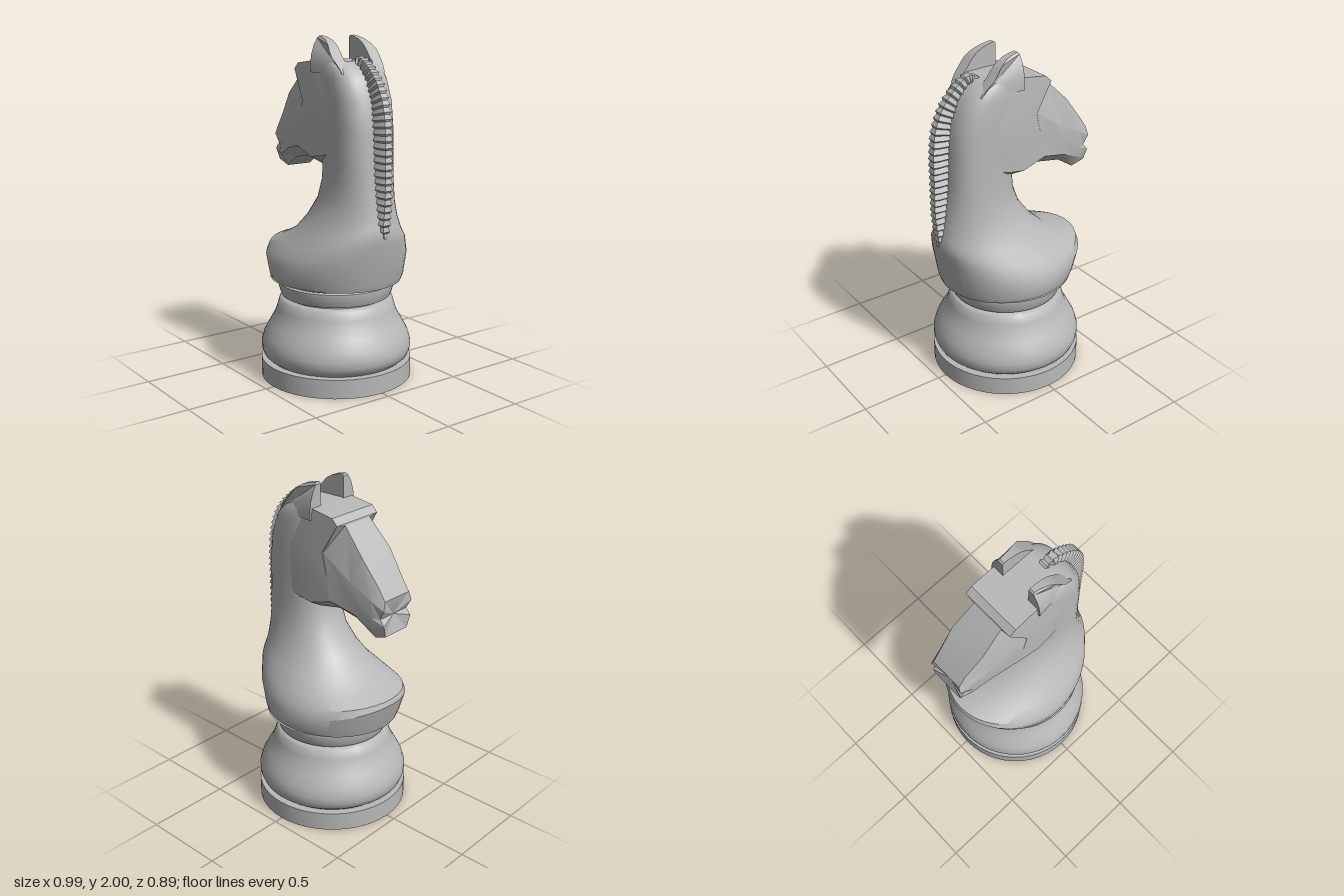
import * as THREE from 'three';
import { toCreasedNormals } from 'three/addons/utils/BufferGeometryUtils.js';

const stone = new THREE.MeshStandardMaterial({ color: 0xb8b8b8 });
stone.name = 'greyStone';

const V = (x, y, z) => new THREE.Vector3(x, y, z);

function part(name, geometry, crease) {
  const mesh = new THREE.Mesh(toCreasedNormals(geometry, crease), stone);
  mesh.name = name;
  return mesh;
}

// Skin a list of equal-length rings and close both ends
function loft(rings, startCentre, endCentre) {
  const n = rings[0].length, last = rings.length - 1, pos = [];
  const tri = (...pts) => pts.forEach((p) => pos.push(p.x, p.y, p.z));
  const middle = (ring) => ring.reduce((s, p) => s.add(p), V(0, 0, 0)).divideScalar(n);
  const c0 = startCentre || middle(rings[0]), c1 = endCentre || middle(rings[last]);
  for (let j = 0; j < n; j++) {
    const k = (j + 1) % n;
    for (let i = 0; i < last; i++) {
      const a = rings[i][j], b = rings[i][k], c = rings[i + 1][k], d = rings[i + 1][j];
      tri(a, b, c);
      tri(a, c, d);
    }
    tri(c0, rings[0][k], rings[0][j]);
    tri(c1, rings[last][j], rings[last][k]);
  }
  const g = new THREE.BufferGeometry();
  g.setAttribute('position', new THREE.Float32BufferAttribute(pos, 3));
  return g;
}

function lathe(points) {
  return new THREE.LatheGeometry(points.map((p) => new THREE.Vector2(...p)), 48);
}

// Neck rows: front y, back y, side y, front x, back x, half width, squareness
function neckGeometry() {
  const rows = [
    [0.6, 0.6, 0.6, -0.405, 0.4, 0.375, 2],
    [0.64, 0.64, 0.63, -0.42, 0.415, 0.385, 2],
    [0.77, 0.84, 0.7, -0.46, 0.45, 0.39, 2],
    [0.8, 0.88, 0.76, -0.45, 0.458, 0.37, 2],
    [0.83, 0.93, 0.82, -0.36, 0.465, 0.335, 2],
    [0.88, 0.97, 0.9, -0.24, 0.455, 0.28, 2],
    [0.97, 1.02, 1.0, -0.14, 0.445, 0.225, 2.1],
    [1.09, 1.1, 1.1, -0.05, 0.43, 0.193, 2.2],
    [1.2, 1.2, 1.2, -0.005, 0.415, 0.18, 2.4],
    [1.3, 1.3, 1.3, 0.01, 0.405, 0.175, 2.6],
    [1.5, 1.5, 1.5, 0.0, 0.395, 0.175, 2.8],
    [1.65, 1.65, 1.65, 0.0, 0.375, 0.175, 2.8],
    [1.77, 1.77, 1.77, 0.0, 0.325, 0.172, 2.8],
    [1.835, 1.835, 1.835, 0.0, 0.27, 0.165, 2.8],
    [1.865, 1.865, 1.865, 0.02, 0.21, 0.15, 2.8],
  ];
  const sides = 40;
  const rings = rows.map(([yf, yb, ys, x0, x1, hz, e]) => {
    const ring = [];
    for (let j = 0; j < sides; j++) {
      const a = (j / sides) * Math.PI * 2, c = Math.cos(a), s = Math.sin(a);
      const px = Math.sign(c) * Math.abs(c) ** (2 / e);
      const pz = Math.sign(s) * Math.abs(s) ** (2 / e);
      const y = ys + c * c * ((c > 0 ? yb : yf) - ys);
      ring.push(V((x0 + x1) / 2 + (px * (x1 - x0)) / 2, y, -pz * hz));
    }
    return ring;
  });
  return loft(rings);
}

// Head sections from muzzle to poll; each lists [x, y, half width]
// for the top, shoulder, mouth, jaw and underside
function headGeometry() {
  const sections = [
    [[-0.488, 1.45, 0.1], [-0.495, 1.4, 0.117], [-0.465, 1.345, 0.11], [-0.495, 1.31, 0.112], [-0.488, 1.24, 0.09]],
    [[-0.44, 1.52, 0.1], [-0.42, 1.44, 0.132], [-0.42, 1.345, 0.13], [-0.42, 1.28, 0.122], [-0.41, 1.21, 0.08]],
    [[-0.33, 1.66, 0.115], [-0.28, 1.52, 0.155], [-0.29, 1.42, 0.152], [-0.3, 1.335, 0.145], [-0.31, 1.275, 0.08]],
    [[-0.19, 1.8, 0.1], [-0.09, 1.64, 0.172], [-0.12, 1.5, 0.174], [-0.15, 1.37, 0.172], [-0.15, 1.305, 0.09]],
    [[-0.188, 1.81, 0.163], [-0.085, 1.64, 0.177], [-0.11, 1.5, 0.176], [-0.14, 1.368, 0.173], [-0.14, 1.305, 0.09]],
    [[-0.15, 1.845, 0.163], [0, 1.65, 0.181], [0, 1.5, 0.181], [0, 1.325, 0.179], [0, 1.28, 0.1]],
    [[0.02, 1.868, 0.16], [0.1, 1.65, 0.18], [0.1, 1.5, 0.18], [0.1, 1.34, 0.178], [0.1, 1.29, 0.12]],
    [[0.2, 1.865, 0.14], [0.22, 1.65, 0.168], [0.22, 1.5, 0.168], [0.21, 1.37, 0.165], [0.2, 1.32, 0.12]],
  ];
  const lean = (x) => -0.02 * Math.min(1, Math.max(0, (-0.1 - x) / 0.35));
  const rings = sections.map((s) => [
    ...s.map(([x, y, w]) => V(x, y, w + lean(x))),
    ...[...s].reverse().map(([x, y, w]) => V(x, y, -w + lean(x))),
  ]);
  return loft(rings, V(-0.465, 1.345, -0.02));
}

// Ear: side profile with the outer face leaning inward towards the tip
function earGeometry(side) {
  const outline = [[0, 1.8], [0.26, 1.8], [0.23, 1.845], [0.19, 1.885], [0.16, 1.925], [0.13, 1.955],
    [0.09, 1.98], [0.04, 1.995], [0.01, 2], [0, 1.99], [0, 1.95], [0, 1.9], [0, 1.85]];
  const shape = new THREE.Shape(outline.map((p) => new THREE.Vector2(...p)));
  const g = new THREE.ExtrudeGeometry(shape, { depth: 1, bevelEnabled: false });
  const p = g.attributes.position;
  for (let i = 0; i < p.count; i++) {
    const rise = Math.max(0, (p.getY(i) - 1.82) / 0.18);
    const taper = 0.055 * rise ** 2.5 + 0.35 * Math.max(0, p.getX(i) - 0.17);
    const outer = 0.178 - taper, inner = 0.092;
    const far = p.getZ(i) > 0.5 ? side > 0 : side < 0;
    p.setZ(i, side * (far ? outer : inner));
  }
  return g;
}

// Mane: a crest along the back of the neck, stepped into locks
function maneGeometry() {
  const curve = new THREE.CatmullRomCurve3([
    [0.17, 1.86], [0.24, 1.888], [0.29, 1.868], [0.36, 1.81], [0.42, 1.735], [0.467, 1.62],
    [0.485, 1.48], [0.487, 1.3], [0.487, 1.12], [0.478, 1.02], [0.465, 0.9],
  ].map(([x, y]) => V(x, y, 0.005)));
  const locks = 30, rings = [];
  for (let i = 0; i < locks; i++) {
    // each lock flares out, then steps back in
    for (const [f, flare] of [[0.05, 0], [0.75, 1]]) {
      const u = (i + f) / locks;
      const p = curve.getPointAt(u), t = curve.getTangentAt(u), n = V(-t.y, t.x, 0);
      const end = Math.min(1, (1 - u) / 0.06 + 0.15);
      const w = (0.024 + 0.013 * flare) * end;
      const at = (out, z) => p.clone().addScaledVector(n, out).add(V(0, 0, z));
      const top = flare * 0.008 - 0.003;
      rings.push([at(top, -w * 0.75), at(top, w * 0.75), at(-0.03, w), at(-0.1, w), at(-0.1, -w), at(-0.03, -w)]);
    }
  }
  return loft(rings);
}

export function createModel() {
  const model = new THREE.Group();
  model.name = 'chessKnight';

  // Turned base
  model.add(part('footDisc', lathe([[0, 0], [0.447, 0], [0.447, 0.112], [0, 0.112]]), 0.5));
  model.add(part('pedestal', lathe([
    [0.4, 0.11], [0.43, 0.135], [0.444, 0.17], [0.445, 0.21], [0.43, 0.26], [0.398, 0.32],
    [0.368, 0.37], [0.35, 0.42], [0.335, 0.472], [0.325, 0.48], [0, 0.48],
  ]), 0.7));
  model.add(part('collar', lathe([
    [0.29, 0.47], [0.29, 0.49], [0.322, 0.495], [0.33, 0.515], [0.343, 0.56], [0.343, 0.575],
    [0.33, 0.582], [0.34, 0.592], [0.39, 0.605], [0, 0.61],
  ]), 0.5));

  // Carved horse
  model.add(part('neck', neckGeometry(), 0.55));
  model.add(part('head', headGeometry(), 0.3));
  for (const side of [1, -1]) {
    model.add(part(side > 0 ? 'leftEar' : 'rightEar', earGeometry(side), 0.6));
  }
  model.add(part('mane', maneGeometry(), 0.3));

  return model;
}
